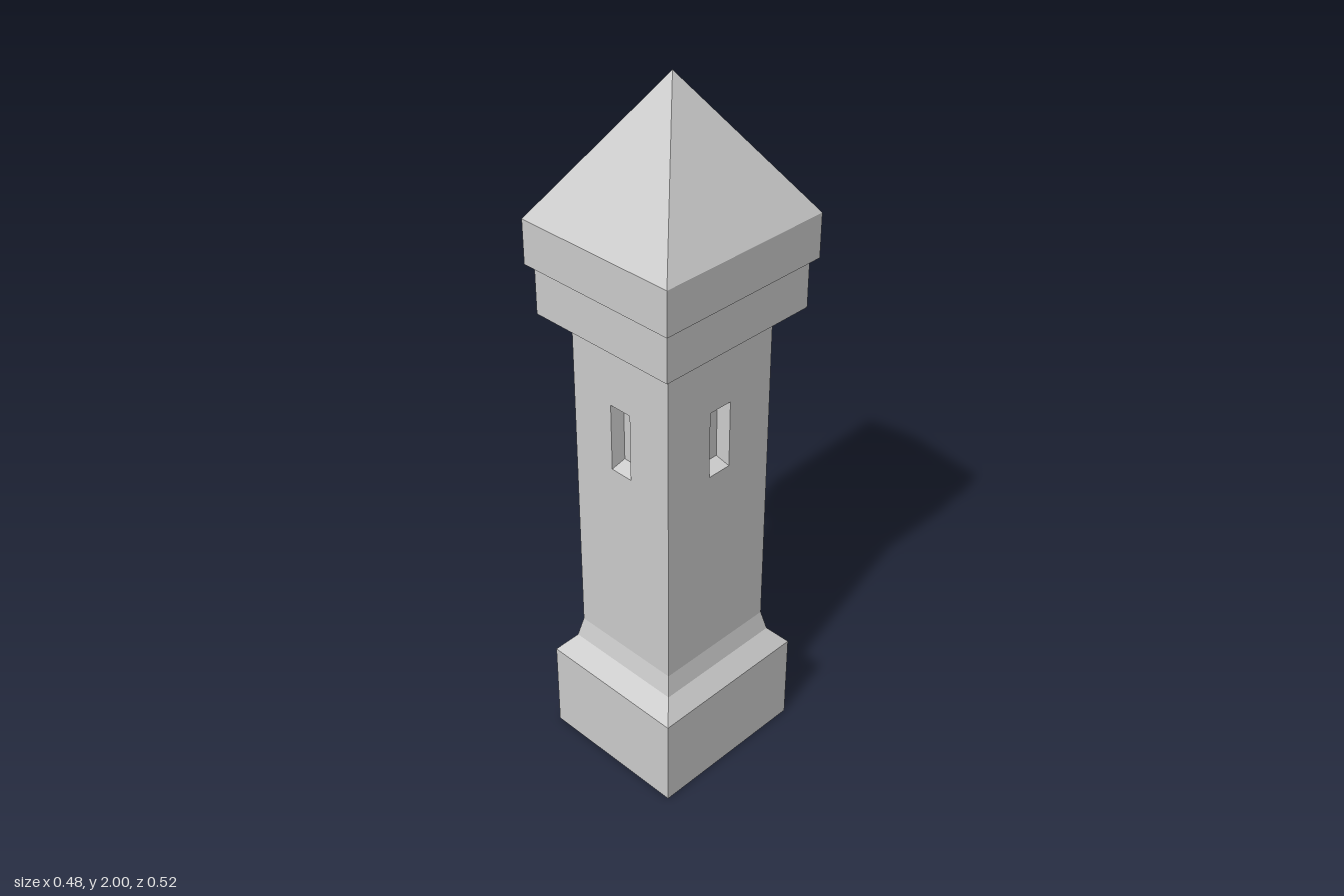
import * as THREE from 'three';

const material = new THREE.MeshStandardMaterial({ color: 0xcccccc, flatShading: true });

// Skin a stack of rectangles [halfX, y, halfZ]; optional caps on the first and last.
function loft(rings, capStart, capEnd) {
  const pts = rings.map(([x, y, z]) => [[x, y, z], [x, y, -z], [-x, y, -z], [-x, y, z]]);
  const pos = [];
  const tri = (a, b, c) => pos.push(...a, ...b, ...c);
  for (let r = 0; r < pts.length - 1; r++) {
    const lo = pts[r], hi = pts[r + 1];
    const pointed = rings[r + 1][0] === 0;
    for (let i = 0; i < 4; i++) {
      const j = (i + 1) % 4;
      tri(lo[i], lo[j], hi[j]);
      if (!pointed) tri(lo[i], hi[j], hi[i]);
    }
  }
  if (capStart) {
    const p = pts[0];
    tri(p[0], p[2], p[1]);
    tri(p[0], p[3], p[2]);
  }
  if (capEnd) {
    const p = pts[pts.length - 1];
    tri(p[0], p[1], p[2]);
    tri(p[0], p[2], p[3]);
  }
  const g = new THREE.BufferGeometry();
  g.setAttribute('position', new THREE.Float32BufferAttribute(pos, 3));
  g.computeVertexNormals();
  return g;
}

function part(name, geometry) {
  const mesh = new THREE.Mesh(geometry, material);
  mesh.name = name;
  return mesh;
}

const SHAFT_X = 0.167, SHAFT_Z = 0.184, SHAFT_BOTTOM = 0.385, SHAFT_TOP = 1.375;
const WIN_Y = 1.068, WIN_H = 0.098;

// One shaft face with its window opening and a recess that narrows inward.
function wall(name, halfWidth, distance, winHalf) {
  const group = new THREE.Group();
  group.name = name;
  const rect = (path, w, y0, y1) =>
    path.setFromPoints([[-w, y0], [w, y0], [w, y1], [-w, y1]].map(([x, y]) => new THREE.Vector2(x, y)));
  const shape = rect(new THREE.Shape(), halfWidth, SHAFT_BOTTOM, SHAFT_TOP);
  shape.holes.push(rect(new THREE.Path(), winHalf, WIN_Y - WIN_H, WIN_Y + WIN_H));
  const face = part('shaftWall', new THREE.ShapeGeometry(shape));
  face.position.z = distance;

  const recess = part('windowRecess', loft([
    [winHalf, 0, WIN_H],
    [winHalf - 0.005, -0.04, WIN_H - 0.015],
  ], false, true));
  recess.rotation.x = Math.PI / 2;
  recess.position.set(0, WIN_Y, distance);
  group.add(face, recess);
  return group;
}

export function createModel() {
  const tower = new THREE.Group();
  tower.name = 'tower';

  // Plinth with a two-step flare up to the shaft
  tower.add(part('base', loft([
    [0.223, 0, 0.243],
    [0.223, 0.272, 0.243],
    [0.18, 0.325, 0.197],
    [SHAFT_X, SHAFT_BOTTOM, SHAFT_Z],
  ], true, false)));

  // Four shaft walls, each with a window
  ['front', 'left', 'back', 'right'].forEach((side, i) => {
    const w = i % 2 === 0
      ? wall(side + 'Wall', SHAFT_X, SHAFT_Z, 0.034)
      : wall(side + 'Wall', SHAFT_Z, SHAFT_X, 0.036);
    w.rotation.y = i * Math.PI / 2;
    tower.add(w);
  });

  // Projecting band under the roof
  tower.add(part('collar', loft([
    [0.225, SHAFT_TOP, 0.245],
    [0.225, 1.511, 0.245],
  ], true, true)));

  // Eave block and pyramid roof
  tower.add(part('roof', loft([
    [0.242, 1.513, 0.262],
    [0.242, 1.635, 0.262],
    [0, 2, 0],
  ], true, false)));

  return tower;
}
